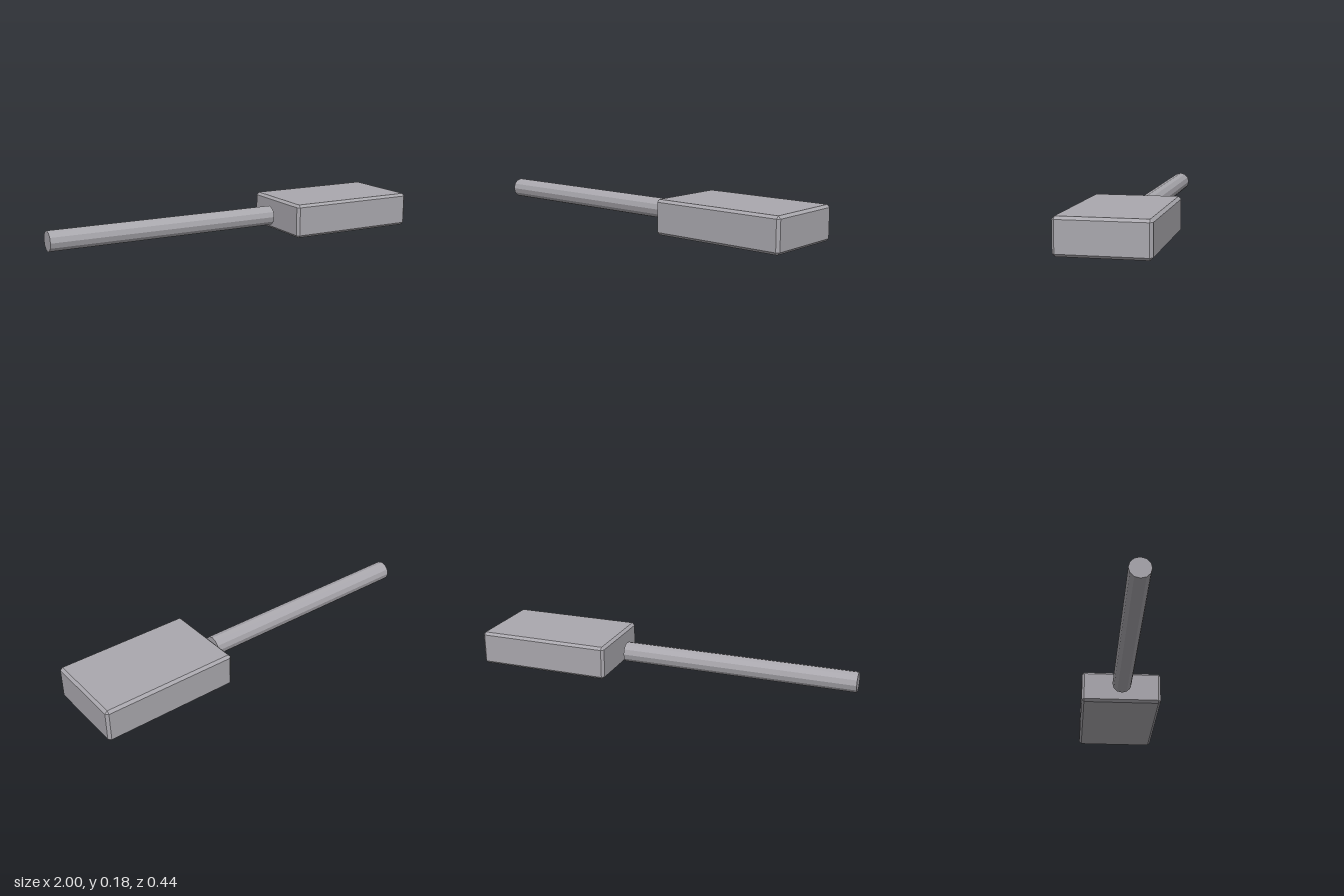
import * as THREE from 'three';
import { ConvexGeometry } from 'three/addons/geometries/ConvexGeometry.js';

// Box with every edge bevelled: each corner becomes three points, one per face
function chamferBox(w, h, d, c) {
  const points = [];
  for (const sx of [-1, 1]) for (const sy of [-1, 1]) for (const sz of [-1, 1]) {
    const x = w / 2, y = h / 2, z = d / 2;
    points.push(
      new THREE.Vector3(sx * x, sy * (y - c), sz * (z - c)),
      new THREE.Vector3(sx * (x - c), sy * y, sz * (z - c)),
      new THREE.Vector3(sx * (x - c), sy * (y - c), sz * z)
    );
  }
  return new ConvexGeometry(points);
}

export function createModel() {
  const model = new THREE.Group();
  model.name = 'mallet';
  const steel = new THREE.MeshStandardMaterial({ color: 0xaaa8ae, flatShading: true });
  steel.name = 'steel grey';

  const add = (name, geometry, x, y) => {
    const mesh = new THREE.Mesh(geometry, steel);
    mesh.name = name;
    mesh.position.set(x, y, 0);
    model.add(mesh);
  };

  // Bevelled block
  add('head', chamferBox(0.717, 0.178, 0.445, 0.0135), 0.6415, 0.089);

  // Twelve-sided rod lying along x, ending just short of the block
  const rod = new THREE.CylinderGeometry(0.053, 0.053, 1.24, 12).rotateZ(Math.PI / 2);
  add('handle', rod, -0.38, 0.089);

  return model;
}
